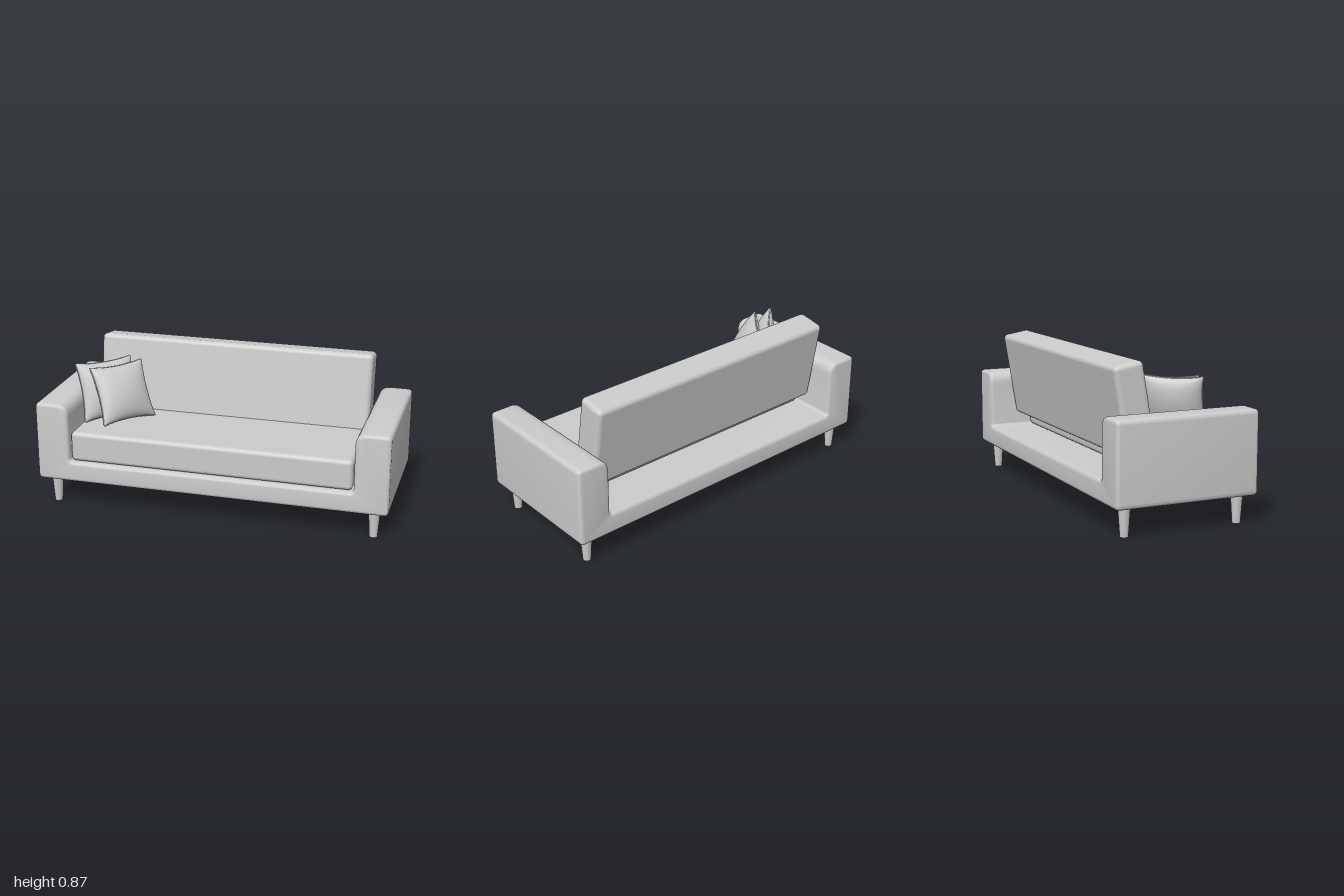
import * as THREE from 'three';
import { mergeGeometries, toCreasedNormals } from 'three/addons/utils/BufferGeometryUtils.js';
import { RoundedBoxGeometry } from 'three/addons/geometries/RoundedBoxGeometry.js';

const material = new THREE.MeshStandardMaterial({ color: 0xcccccc });

function add(parent, name, geometry, x, y, z) {
  const mesh = new THREE.Mesh(geometry, material);
  mesh.name = name;
  mesh.position.set(x, y, z);
  parent.add(mesh);
  return mesh;
}

// U-shaped base and arms in one upholstered body, extruded front to back
function frameGeometry() {
  const bottom = 0.155, top = 0.61, floor = 0.275, inner = 0.808, r = 0.028, bevel = 0.02;
  const s = new THREE.Shape();
  s.moveTo(-1 + r, bottom);
  s.lineTo(1 - r, bottom);
  s.quadraticCurveTo(1, bottom, 1, bottom + r);
  s.lineTo(1, top - r);
  s.quadraticCurveTo(1, top, 1 - r, top);
  s.lineTo(0.875, top);
  s.bezierCurveTo(0.835, top, inner, 0.59, inner, 0.54);
  s.lineTo(inner, floor + 0.02);
  s.quadraticCurveTo(inner, floor, inner - 0.02, floor);
  s.lineTo(-inner + 0.02, floor);
  s.quadraticCurveTo(-inner, floor, -inner, floor + 0.02);
  s.lineTo(-inner, 0.54);
  s.bezierCurveTo(-inner, 0.59, -0.835, top, -0.875, top);
  s.lineTo(-1 + r, top);
  s.quadraticCurveTo(-1, top, -1, top - r);
  s.lineTo(-1, bottom + r);
  s.quadraticCurveTo(-1, bottom, -1 + r, bottom);
  const depth = 0.81 - 2 * bevel;
  const g = new THREE.ExtrudeGeometry(s, {
    depth, curveSegments: 8, bevelEnabled: true,
    bevelThickness: bevel, bevelSize: bevel, bevelOffset: -bevel, bevelSegments: 5,
  });
  g.translate(0, 0, -depth / 2);
  return toCreasedNormals(g, 0.7);
}

// Square cushion: plump middle, pinched sides, pointed corners
function pillowGeometry(width, height, thickness) {
  const side = new THREE.PlaneGeometry(2, 2, 28, 28);
  const p = side.attributes.position;
  for (let i = 0; i < p.count; i++) {
    const u = Math.sin(p.getX(i) * Math.PI / 2), v = Math.sin(p.getY(i) * Math.PI / 2);
    const a = Math.max(0, 1 - u * u), b = Math.max(0, 1 - v * v);
    p.setXYZ(i,
      u * (1 - 0.09 * b) * width / 2,
      v * (1 - 0.09 * a) * height / 2,
      Math.pow(a * b, 0.5) * thickness / 2 + 0.003);
  }
  side.computeVertexNormals();
  // Thin piped seam joins the two faces
  const seam = [];
  const n = 28, row = n + 1, rim = [];
  for (let i = 0; i < n; i++) rim.push(i);
  for (let i = 0; i < n; i++) rim.push(i * row + n);
  for (let i = n; i > 0; i--) rim.push(n * row + i);
  for (let i = n; i > 0; i--) rim.push(i * row);
  for (const i of rim) seam.push(new THREE.Vector3(p.getX(i), p.getY(i), 0));
  const path = new THREE.CatmullRomCurve3(seam, true);
  const piping = new THREE.TubeGeometry(path, 112, 0.004, 6, true);
  return mergeGeometries([side, side.clone().rotateY(Math.PI), piping]);
}

export function createModel() {
  const sofa = new THREE.Group();
  sofa.name = 'sofa';

  add(sofa, 'frame', frameGeometry(), 0, 0, 0);

  // Seat cushion
  add(sofa, 'seat', new RoundedBoxGeometry(1.6, 0.172, 0.55, 5, 0.025), 0, 0.364, 0.118);

  // Reclined backrest
  const back = add(sofa, 'backrest', new RoundedBoxGeometry(1.6, 0.495, 0.17, 5, 0.028), 0, 0.612, -0.203);
  back.rotation.x = -0.165;

  // Tapered legs
  const leg = new THREE.CylinderGeometry(0.033, 0.022, 0.16, 24);
  for (const x of [-0.915, 0.915])
    for (const z of [-0.325, 0.325])
      add(sofa, 'leg', leg, x, 0.08, z);

  // Two throw pillows leaning on the arm
  const pillow = pillowGeometry(0.345, 0.335, 0.13);
  const rear = add(sofa, 'rearPillow', pillow, -0.69, 0.612, 0.07);
  rear.rotation.set(-0.32, Math.PI / 4, 0, 'YXZ');
  const front = add(sofa, 'frontPillow', pillow, -0.59, 0.608, 0.095);
  front.rotation.set(-0.45, 0.93, -0.03, 'YXZ');

  return sofa;
}
